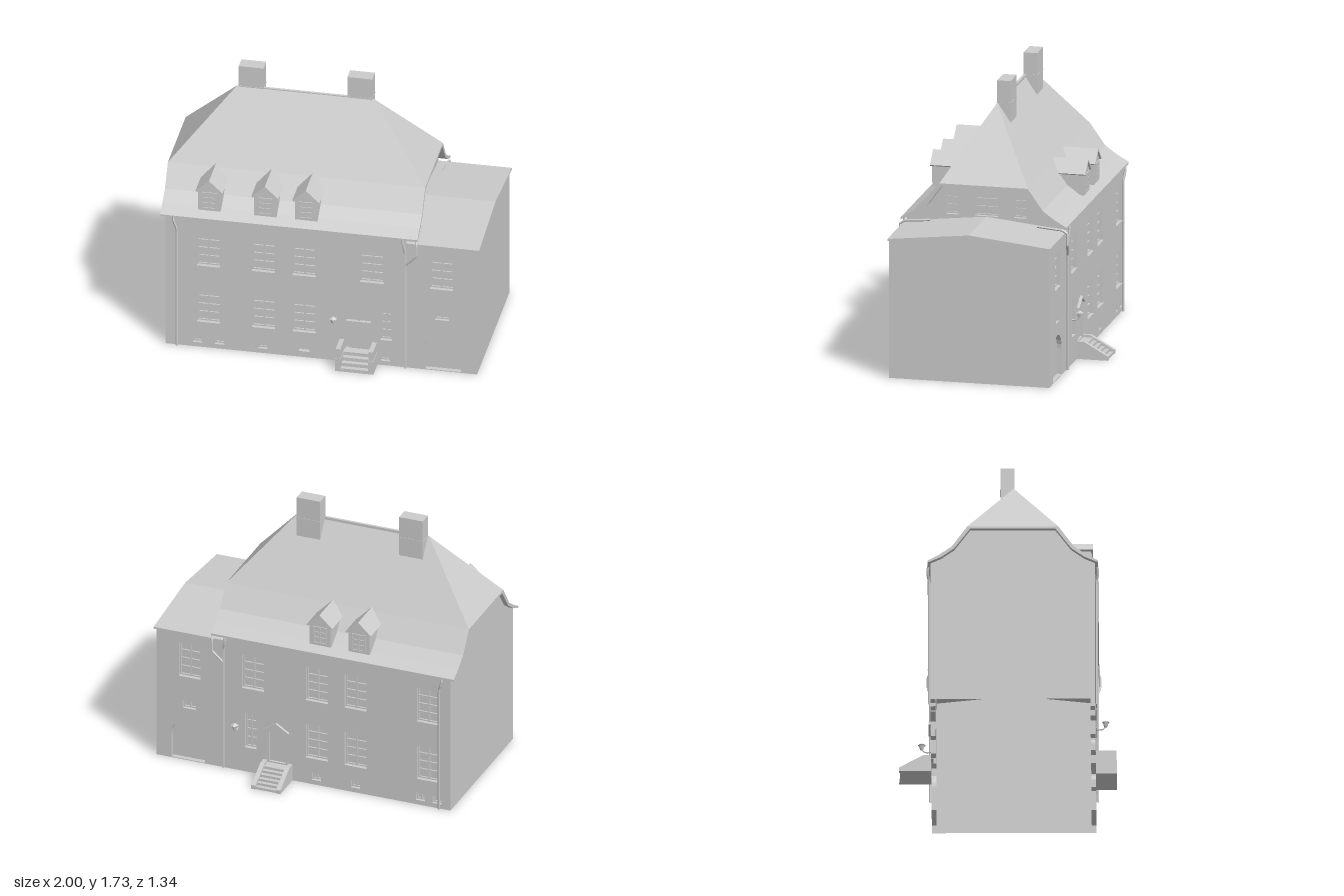
import * as THREE from 'three';

const mat = new THREE.MeshStandardMaterial({ color: 0xcccccc, side: THREE.DoubleSide, flatShading: true });
const C = 0.035;      // z of the building's long axis
const HALF = 0.507;   // half depth between the front and back walls
const V = (x, y, z) => new THREE.Vector3(x, y, z);

function add(parent, name, geo, x = 0, y = 0, z = 0) {
  const m = new THREE.Mesh(geo, mat);
  m.name = name;
  m.position.set(x, y, z);
  parent.add(m);
  return m;
}
function group(parent, name) {
  const g = new THREE.Group();
  g.name = name;
  parent.add(g);
  return g;
}
const box = (p, name, x0, x1, y0, y1, z0, z1) =>
  add(p, name, new THREE.BoxGeometry(x1 - x0, y1 - y0, z1 - z0), (x0 + x1) / 2, (y0 + y1) / 2, (z0 + z1) / 2);

const poly = pts => new THREE.Shape(pts.map(p => new THREE.Vector2(p[0], p[1])));

// Faces given as corner loops, fanned into triangles
function faces(list) {
  const pos = [];
  for (const f of list)
    for (let i = 1; i < f.length - 1; i++) pos.push(...f[0], ...f[i], ...f[i + 1]);
  const g = new THREE.BufferGeometry();
  g.setAttribute('position', new THREE.Float32BufferAttribute(pos, 3));
  g.computeVertexNormals();
  return g;
}
// Extrudes a (depth, height) outline along x
function alongX(pts, x0, x1) {
  const g = new THREE.ExtrudeGeometry(poly(pts), { depth: x1 - x0, bevelEnabled: false });
  return g.rotateY(Math.PI / 2).translate(x0, 0, C);
}
const mirrored = pts => [...pts, ...pts.slice().reverse().filter(p => p[0] !== 0).map(p => [-p[0], p[1]])];

// Outline of an opening, square or round-headed
function outline({ x0, x1, y0, y1, arch }) {
  if (!arch) return [[x0, y0], [x1, y0], [x1, y1], [x0, y1]];
  const r = (x1 - x0) / 2, pts = [[x0, y0], [x1, y0]];
  for (let i = 0; i <= 12; i++) {
    const a = Math.PI * i / 12;
    pts.push([(x0 + x1) / 2 + r * Math.cos(a), y1 - r + r * Math.sin(a)]);
  }
  return pts;
}

// Wall facing +z with recessed openings, glazing bars and sills
function wall(parent, name, pts, openings) {
  const g = group(parent, name);
  const shape = poly(pts);
  for (const o of openings) {
    const loop = outline(o), d = o.depth ?? 0.03;
    shape.holes.push(new THREE.Path(loop.map(p => new THREE.Vector2(...p))));
    add(g, 'pane', new THREE.ShapeGeometry(poly(loop)), 0, 0, -d);
    add(g, 'reveal', faces(loop.map((p, i) => {
      const q = loop[(i + 1) % loop.length];
      return [[...p, 0], [...p, -d], [...q, -d], [...q, 0]];
    })));
    if (o.rows) bars(g, o, -d, 0.008);
    if (o.sill) box(g, 'sill', o.x0, o.x1, o.y0 - 0.006, o.y0, -d, 0.005);
  }
  add(g, 'wallFace', new THREE.ShapeGeometry(shape));
  return g;
}
function bars(g, { x0, x1, y0, y1, rows, cols = 2 }, z, t) {
  for (let i = 0; i <= cols; i++) {
    const x = x0 + t / 2 + (x1 - x0 - t) * i / cols;
    box(g, 'mullion', x - t / 2, x + t / 2, y0, y1, z, z + 0.012);
  }
  for (let i = 0; i <= rows; i++) {
    const y = y0 + t / 2 + (y1 - y0 - t) * i / rows;
    box(g, 'glazingBar', x0, x1, y - t / 2, y + t / 2, z, z + 0.01);
  }
}

function lantern(parent, x, y, zWall, s) {
  const g = group(parent, 'wallLantern');
  const z = zWall + s * 0.06;
  const arm = new THREE.CatmullRomCurve3([V(x, y, zWall), V(x, y, zWall + s * 0.04), V(x, y + 0.02, z)]);
  add(g, 'arm', new THREE.TubeGeometry(arm, 6, 0.004, 6));
  add(g, 'glass', new THREE.CylinderGeometry(0.018, 0.01, 0.03, 6), x, y + 0.032, z);
  add(g, 'cap', new THREE.ConeGeometry(0.025, 0.015, 6), x, y + 0.054, z);
}

function pipe(parent, name, pts, r = 0.008) {
  const path = new THREE.CurvePath();
  for (let i = 1; i < pts.length; i++) path.add(new THREE.LineCurve3(V(...pts[i - 1]), V(...pts[i])));
  add(parent, name, new THREE.TubeGeometry(path, pts.length * 8, r, 6));
}

export function createModel() {
  const model = new THREE.Group();
  model.name = 'house';

  // Long walls; the lower end belongs to the side wing
  const win = (x0, x1, y0, y1) => ({ x0, x1, y0, y1, rows: 4, sill: true });
  const cellar = x => ({ x0: x - 0.03, x1: x + 0.03, y0: 0.03, y1: 0.08, rows: 1 });
  const wing = [win(0.69, 0.835, 0.58, 0.81),
    { x0: 0.72, x1: 0.81, y0: 0.36, y1: 0.41, rows: 1 },
    { x0: 0.66, x1: 0.885, y0: 0.005, y1: 0.28, arch: true }];
  const columns = xs => xs.flatMap(x => [win(x - 0.073, x + 0.073, 0.58, 0.81), win(x - 0.073, x + 0.073, 0.18, 0.41)]);
  const front = [...columns([-0.7, -0.355, -0.1]), win(0.25, 0.4, 0.58, 0.81), win(0.38, 0.45, 0.18, 0.41),
    ...[-0.77, -0.63, -0.36, 0.41].map(cellar), { x0: -0.135, x1: -0.065, y0: 0.04, y1: 0.12, arch: true },
    { x0: 0.158, x1: 0.322, y0: 0.09, y1: 0.362, arch: true }, ...wing];
  const back = [...columns([-0.82, -0.34, -0.082]), win(0.27, 0.415, 0.58, 0.81), win(0.32, 0.395, 0.17, 0.41),
    ...[-0.88, -0.77, -0.34, -0.08].map(cellar), { x0: 0.125, x1: 0.235, y0: 0.105, y1: 0.31, depth: 0.015 }, ...wing];
  const side = [[-0.97, 0], [0.985, 0], [0.985, 0.885], [0.54, 0.885], [0.54, 0.93], [-0.97, 0.93]];
  wall(model, 'frontWall', side, front).position.z = C + HALF;
  const rear = wall(model, 'backWall', side.map(([x, y]) => [-x, y]),
    back.map(o => ({ ...o, x0: -o.x1, x1: -o.x0 })));
  rear.rotation.y = Math.PI;
  rear.position.z = C - HALF;

  // End walls
  const gableTop = [[HALF, 0.925], [0.365, 1.015], [0.275, 1.15]];
  const left = wall(model, 'leftWall', mirrored([[HALF, 0], ...gableTop]), []);
  left.rotation.y = -Math.PI / 2;
  left.position.set(-0.97, 0, C);
  const attic = (x0, x1) => ({ x0, x1, y0: 0.947, y1: 1.103, rows: 3, sill: true });
  const gable = wall(model, 'rightGable', mirrored([[HALF, 0.885], ...gableTop]),
    [attic(-0.255, -0.175), attic(-0.073, 0.073), attic(0.175, 0.255)]);
  gable.rotation.y = Math.PI / 2;
  gable.position.set(0.54, 0, C);
  const end = wall(model, 'wingEndWall', mirrored([[HALF, 0], [HALF, 0.88], [0, 0.935]]), []);
  end.rotation.y = Math.PI / 2;
  end.position.set(0.985, 0, C);

  // Wing roof slab
  add(model, 'wingRoof', alongX([[-0.515, 0.888], [0, 0.943], [0.515, 0.888], [0.515, 0.876], [0, 0.931], [-0.515, 0.876]], 0.54, 1));

  // Lower roof slopes with a flared eave
  const roof = group(model, 'mainRoof');
  for (const s of [1, -1])
    add(roof, 'lowerSlope', alongX([[0.525, 0.925], [0.45, 0.968], [0.375, 1.022], [0.28, 1.157], [0.26, 1.145],
      [0.36, 1.008], [0.44, 0.95], [0.525, 0.912]].map(([d, y]) => [s * d, y]), -1, 0.614));
  // Upper hipped roof
  const zf = C + 0.28, zb = C - 0.28, e = 1.157;
  const A = [-1, e, zf], B = [0.614, e, zf], D = [0.614, e, zb], E = [-1, e, zb];
  const L = [-0.62, 1.59, 0.04], R = [0.24, 1.59, 0.04];
  add(roof, 'upperHips', faces([[A, B, R, L], [B, D, R], [D, E, L, R], [E, A, L]]));
  box(roof, 'rightSoffit', 0.54, 0.614, 1.142, e, zb, zf);
  box(roof, 'leftSoffit', -1, -0.97, 1.142, e, zb, zf);
  box(roof, 'ridgeCap', -0.455, 0.07, 1.575, 1.592, 0.027, 0.043);

  // Chimneys
  for (const x of [-0.532, 0.15]) {
    box(model, 'chimney', x - 0.078, x + 0.078, 1.46, 1.73, -0.042, 0.043);
    box(model, 'chimneyBand', x - 0.08, x + 0.08, 1.585, 1.592, -0.044, 0.045);
  }

  // Dormers
  const dormer = (x, s) => {
    const g = group(model, 'dormer');
    add(g, 'body', new THREE.ExtrudeGeometry(poly(mirrored([[0.07, 0.96], [0.07, 1.1], [0, 1.165]])),
      { depth: 0.21, bevelEnabled: false }), 0, 0, 0.27);
    add(g, 'roof', new THREE.ExtrudeGeometry(poly([[-0.085, 1.098], [0, 1.177], [0.085, 1.098], [0.075, 1.09], [0, 1.162], [-0.075, 1.09]]),
      { depth: 0.235, bevelEnabled: false }), 0, 0, 0.257);
    bars(g, { x0: -0.045, x1: 0.045, y0: 0.975, y1: 1.09, rows: 3 }, 0.476, 0.007);
    g.position.set(x, 0, C);
    if (s < 0) g.rotation.y = Math.PI;
  };
  [-0.7, -0.35, -0.093].forEach(x => dormer(x, 1));
  [-0.35, -0.093].forEach(x => dormer(x, -1));

  // Front door: leaf, transom and fan bars
  const door = group(model, 'frontDoor'), dz = C + HALF - 0.03;
  box(door, 'leaf', 0.178, 0.302, 0.09, 0.265, dz, dz + 0.012);
  box(door, 'transom', 0.158, 0.322, 0.265, 0.285, dz, dz + 0.022);
  box(door, 'fanBar', 0.236, 0.244, 0.285, 0.36, dz, dz + 0.012);

  // Front steps between parapets
  const stoop = group(model, 'frontSteps'), fz = C + HALF;
  for (let i = 0; i < 4; i++) box(stoop, 'step', 0.155, 0.325, 0, 0.0225 * (i + 1), fz, 0.67 - 0.03 * i);
  for (const x of [0.12, 0.325]) {
    box(stoop, 'cheek', x, x + 0.035, 0, 0.09, fz, 0.67);
    box(stoop, 'parapet', x + 0.003, x + 0.032, 0.09, 0.156, fz, 0.667);
  }

  // Back steps between sloping cheeks, with a small pediment above the door
  const steps = group(model, 'backSteps'), bz = C - HALF;
  for (let i = 0; i < 6; i++) box(steps, 'step', 0.105, 0.245, 0, 0.016 * (i + 1), -0.665 + 0.026 * i, bz);
  const cheek = [[-bz, 0], [0.67, 0], [0.67, 0.025], [0.52, 0.11], [-bz, 0.11]];
  for (const x of [0.08, 0.245])
    add(steps, 'cheek', alongX(cheek.map(([d, y]) => [d + C, y]), x, x + 0.028));
  add(model, 'pediment', new THREE.ExtrudeGeometry(
    poly([[0.1, 0.325], [0.185, 0.38], [0.27, 0.325], [0.25, 0.325], [0.185, 0.367], [0.12, 0.325]]),
    { depth: 0.018, bevelEnabled: false }), 0, 0, bz - 0.018);

  lantern(model, 0.093, 0.285, fz, 1);
  lantern(model, 0.44, 0.295, bz, -1);

  // Downpipes, mirrored front to back
  for (const s of [1, -1]) {
    const z = d => C + s * d;
    pipe(model, 'downpipe', [[-0.92, 0.92, z(0.52)], [-0.915, 0.88, z(0.525)], [-0.897, 0.83, z(0.515)], [-0.897, 0, z(0.515)]]);
    pipe(model, 'downpipe', [[0.522, 0.92, z(0.52)], [0.524, 0.88, z(0.525)], [0.535, 0.83, z(0.515)], [0.535, 0, z(0.515)]]);
    pipe(model, 'wingGutter', [[0.605, 0.918, z(0.34)], [0.607, 0.905, z(0.5)], [0.607, 0.885, z(0.53)],
      [0.607, 0.81, z(0.53)], [0.54, 0.735, z(0.515)]]);
  }
  return model;
}
